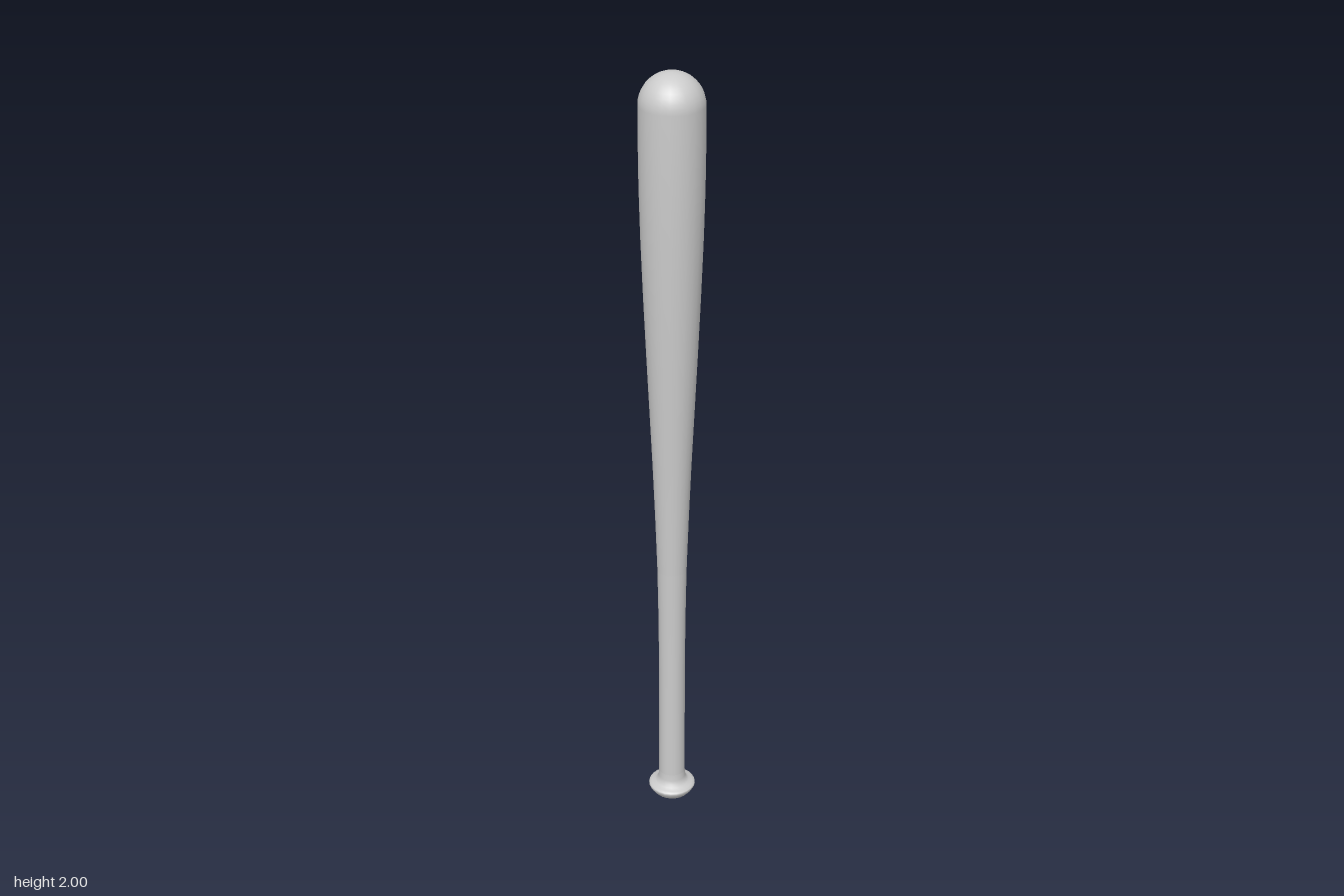
import * as THREE from 'three';

const SIDES = 24;

export function createModel() {
  const group = new THREE.Group();
  group.name = 'bat';
  const material = new THREE.MeshStandardMaterial({ color: 0xcccccc });

  // Turns a [radius, height] profile, listed from bottom to top, around the y axis
  const turn = (name, profile) => {
    const points = profile.map(([r, y]) => new THREE.Vector2(r, y));
    const mesh = new THREE.Mesh(new THREE.LatheGeometry(points, SIDES), material);
    mesh.name = name;
    group.add(mesh);
  };

  // Knob: shallow bowl below, rounded rim, flared neck into the handle
  turn('knob', [
    [0, 0], [0.02, 0.002], [0.035, 0.006], [0.047, 0.014], [0.056, 0.025],
    [0.061, 0.034], [0.06, 0.039], [0.053, 0.042], [0.044, 0.046],
    [0.038, 0.052], [0.035, 0.062], [0.034, 0.08],
  ]);

  // Slim handle swelling slowly into the taper
  turn('handle', [
    [0.034, 0.08], [0.0335, 0.25], [0.0335, 0.4], [0.0345, 0.55], [0.037, 0.7],
  ]);

  // Tapered barrel closed by a rounded end
  const barrel = [
    [0.037, 0.7], [0.042, 0.85], [0.048, 1.0], [0.055, 1.15], [0.062, 1.3],
    [0.0685, 1.45], [0.074, 1.6], [0.077, 1.72], [0.078, 1.82],
  ];
  const domeSteps = 10;
  for (let i = 0; i <= domeSteps; i++) {
    const a = (i / domeSteps) * Math.PI / 2;
    barrel.push([i === domeSteps ? 0 : 0.078 * Math.cos(a), 1.922 + 0.078 * Math.sin(a)]);
  }
  turn('barrel', barrel);

  return group;
}
